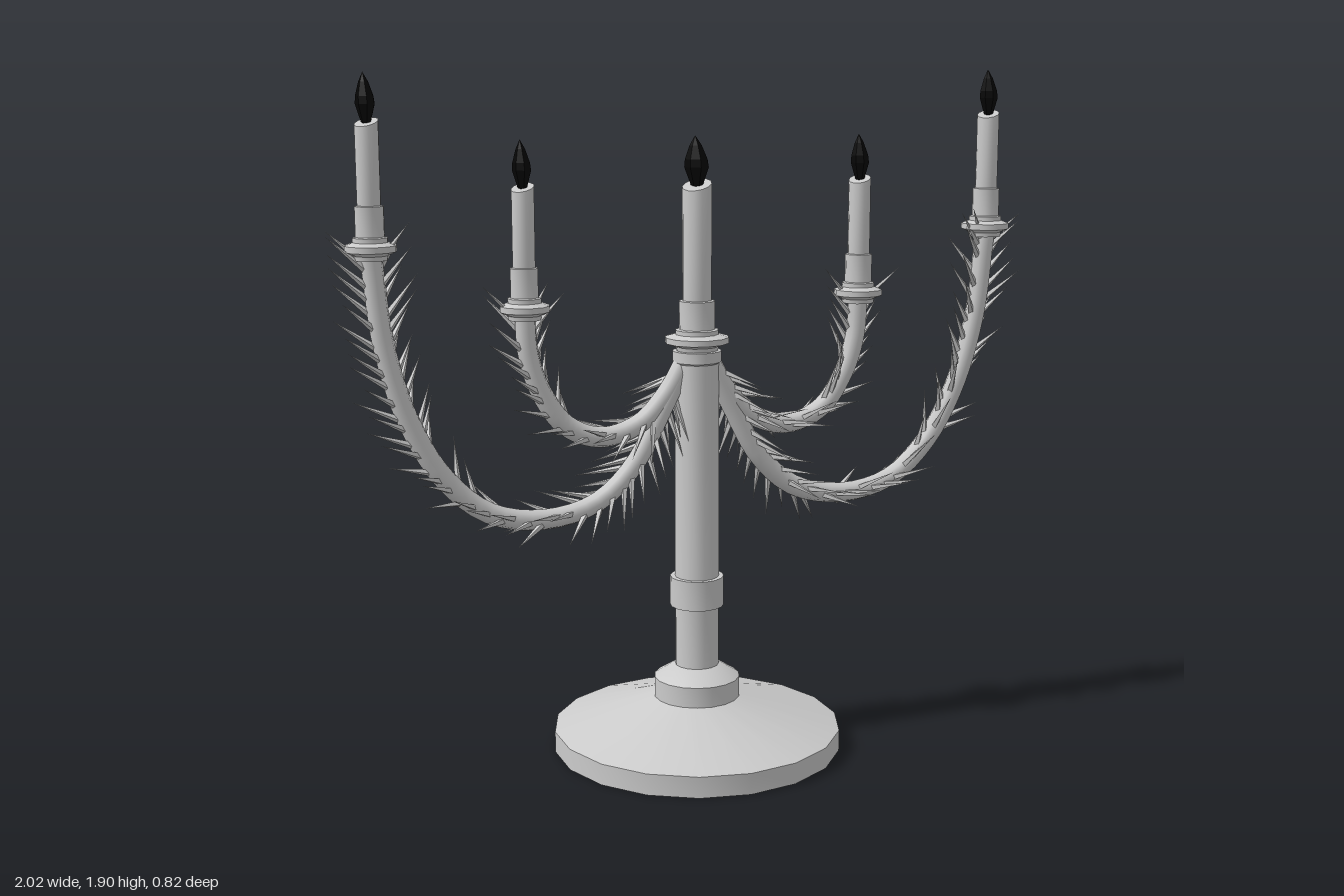
import * as THREE from 'three';
import { mergeGeometries, toCreasedNormals } from 'three/addons/utils/BufferGeometryUtils.js';

const metal = new THREE.MeshStandardMaterial({ color: 0xcccccc, side: THREE.DoubleSide });
const spikeMat = new THREE.MeshStandardMaterial({ color: 0xcccccc, flatShading: true });
const black = new THREE.MeshStandardMaterial({ color: 0x050505, flatShading: true });

const v2 = (list) => list.map(([x, y]) => new THREE.Vector2(x, y));

function addMesh(parent, name, geometry, material) {
  const mesh = new THREE.Mesh(geometry, material);
  mesh.name = name;
  parent.add(mesh);
  return mesh;
}

function turned(parent, name, profile, sides) {
  return addMesh(parent, name, toCreasedNormals(new THREE.LatheGeometry(v2(profile), sides), 0.6), metal);
}

// Small seeded generator for the irregular spikes
function seeded(seed) {
  return () => {
    seed = (seed * 16807) % 2147483647;
    return seed / 2147483647;
  };
}

// Drip pan, socket, slant-topped candle and flame; y = 0 is the pan's rim
function createCandle(name, scale, candleTop) {
  const group = new THREE.Group();
  group.name = name;
  const s = scale;
  turned(group, 'dripPan', [
    [0, -0.03], [0.044 * s, -0.03], [0.046 * s, -0.018], [0.068 * s, -0.008], [0.068 * s, 0.008],
    [0.046 * s, 0.016], [0.046 * s, 0.028], [0.038 * s, 0.03], [0.038 * s, 0.108], [0.03 * s, 0.11],
  ], 12);

  const bottom = 0.05;
  const height = candleTop - bottom;
  const wax = new THREE.CylinderGeometry(0.031 * s, 0.031 * s, height, 12);
  const pos = wax.attributes.position;
  for (let i = 0; i < pos.count; i++) {
    if (pos.getY(i) > 0) pos.setY(i, pos.getY(i) + 0.25 * pos.getX(i) - 0.25 * pos.getZ(i));
  }
  addMesh(group, 'candle', toCreasedNormals(wax, 0.6), metal).position.y = bottom + height / 2;

  // Leaning, pointed flame
  const f = new THREE.LatheGeometry(v2([
    [0, -0.01], [0.013, 0], [0.026, 0.045], [0.024, 0.065], [0.013, 0.1], [0, 0.125],
  ]), 7);
  const fp = f.attributes.position;
  for (let i = 0; i < fp.count; i++) {
    const y = fp.getY(i);
    fp.setXYZ(i, fp.getX(i) * s - 0.35 * y * y, y * (0.8 + 0.2 * s), fp.getZ(i) * s);
  }
  addMesh(group, 'flame', f, black).position.y = candleTop;
  return group;
}

// Curved arm with two rows of spikes that lie sideways along the bottom of the bend
function createArm(name, points, seed) {
  const group = new THREE.Group();
  group.name = name;
  const rand = seeded(seed);
  const curve = new THREE.CatmullRomCurve3(points.map(([x, y]) => new THREE.Vector3(x, y, 0)));
  addMesh(group, 'armTube', new THREE.TubeGeometry(curve, 40, 0.029, 8), metal);

  const count = Math.round(curve.getLength() / 0.04);
  const up = new THREE.Vector3(0, 1, 0);
  const zAxis = new THREE.Vector3(0, 0, 1);
  const spikes = [];
  for (let i = 1; i < count; i++) {
    for (const side of [1, -1]) {
      const t = Math.min(0.985, 0.02 + (i + rand() * 0.4) / count);
      const p = curve.getPointAt(t);
      const tangent = curve.getTangentAt(t);
      const normal = new THREE.Vector3(-tangent.y, tangent.x, 0);
      // Steep stretches spread in the arm's plane, level stretches spread to z
      const angle = Math.acos(THREE.MathUtils.clamp(Math.abs(tangent.y), 0, 1)) + (rand() - 0.5) * 1.1;
      const out = normal.multiplyScalar(Math.cos(angle)).addScaledVector(zAxis, Math.sin(angle));
      out.multiplyScalar(side);
      const dir = tangent.multiplyScalar(0.72).addScaledVector(out, 0.69).normalize();
      const length = 0.12 + rand() * 0.03;
      const spike = new THREE.ConeGeometry(0.0105, length, 4, 1, true);
      spike.translate(0, length / 2, 0);
      spike.applyQuaternion(new THREE.Quaternion().setFromUnitVectors(up, dir));
      p.addScaledVector(out, 0.012);
      spike.translate(p.x, p.y, p.z);
      spikes.push(spike);
    }
  }
  addMesh(group, 'armSpikes', mergeGeometries(spikes), spikeMat);
  return group;
}

export function createModel() {
  const model = new THREE.Group();
  model.name = 'candelabrum';

  // Foot
  turned(model, 'base', [
    [0, 0], [0.41, 0], [0.41, 0.06], [0.122, 0.147], [0.122, 0.205], [0.066, 0.24], [0, 0.24],
  ], 18);

  // Column with collar and neck ring
  turned(model, 'column', [
    [0.062, 0.23], [0.061, 0.415], [0.076, 0.415], [0.076, 0.5], [0.062, 0.5],
    [0.061, 1.11], [0.068, 1.115], [0.068, 1.145], [0, 1.15],
  ], 16);

  const centre = createCandle('centreCandle', 1.32, 0.425);
  centre.position.y = 1.175;
  model.add(centre);

  // Arms and their candles, mirrored
  const arms = [
    {
      name: 'outer', x: 0.895, y: 1.46, top: 0.32, seed: 71,
      points: [[0.03, 1.13], [0.1, 0.99], [0.19, 0.83], [0.3, 0.735], [0.45, 0.703], [0.6, 0.735],
        [0.72, 0.84], [0.81, 1.0], [0.868, 1.2], [0.895, 1.44]],
    },
    {
      name: 'inner', x: 0.49, y: 1.285, top: 0.32, seed: 293,
      points: [[0.03, 1.13], [0.09, 1.03], [0.17, 0.95], [0.28, 0.92], [0.38, 0.96], [0.45, 1.06],
        [0.482, 1.16], [0.49, 1.27]],
    },
  ];
  for (const arm of arms) {
    for (const side of [1, -1]) {
      const label = arm.name + (side > 0 ? 'Left' : 'Right');
      const points = arm.points.map(([x, y]) => [x * side, y]);
      model.add(createArm(label + 'Arm', points, arm.seed + side));
      const candle = createCandle(label + 'Candle', 1, arm.top);
      candle.position.set(arm.x * side, arm.y, 0);
      model.add(candle);
    }
  }
  return model;
}
